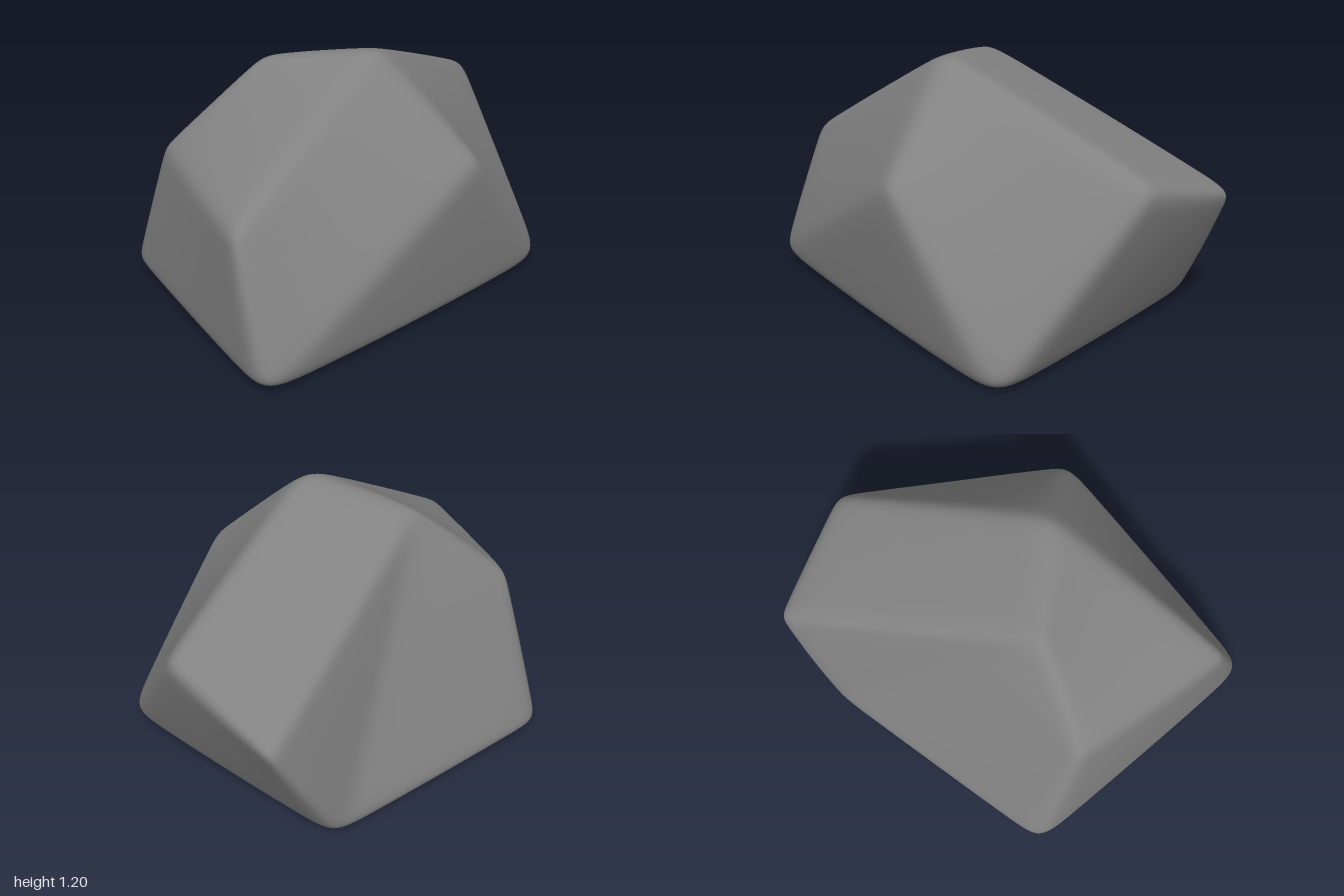
import * as THREE from 'three';

// Sharp corners of the boulder
const CORNERS = [
  [-0.82, 0.015, 0.515],  // 0 base, front left
  [0.48, 0.005, 1.06],    // 1 base, front right
  [0.79, -0.02, -0.755],  // 2 base, back right
  [-0.61, 0.00, -0.715],  // 3 base, back left
  [-0.51, 0.75, 0.56],    // 4 shoulder, front left
  [0.26, 0.68, 0.97],     // 5 shoulder, front right
  [0.785, 0.78, -0.11],   // 6 shoulder, right
  [0.125, 0.825, -1.03],  // 7 shoulder, back right
  [-0.505, 0.635, -1.035], // 8 shoulder, back left
  [-0.215, 1.16, 0.23],   // 9 crest, left
  [0.29, 1.245, 0.02],    // 10 crest, right
].map((c) => new THREE.Vector3(...c));

// Facets, anticlockwise from outside
const FACETS = [
  [0, 1, 5, 4],   // front
  [4, 5, 10, 9],  // upper front
  [5, 1, 6, 10],  // right front
  [1, 2, 6],      // lower right
  [10, 6, 2, 7],  // right back
  [9, 10, 7, 8],  // top
  [0, 4, 9, 3],   // left
  [9, 8, 3],      // left hollow
  [2, 3, 8, 7],   // back
  [0, 3, 2, 1],   // underside
];

const BEVEL = 0.026;
const mean = (points) => points
  .reduce((sum, p) => sum.add(p), new THREE.Vector3()).divideScalar(points.length);

// Calls visit(face index, corner, next corner, previous corner) all round each face
function eachCorner(faces, visit) {
  faces.forEach((face, f) => face.forEach((v, k) => {
    visit(f, v, face[(k + 1) % face.length], face[(k + face.length - 1) % face.length]);
  }));
}

// Insets every facet and fills the gaps along edges and at corners
function bevel({ points, faces }, width) {
  const out = { points: [], faces: faces.map(() => []) };
  const inset = {};
  const edgeFace = {};
  const before = {};
  eachCorner(faces, (f, v, next, prev) => {
    const d1 = points[next].clone().sub(points[v]).normalize();
    const d2 = points[prev].clone().sub(points[v]).normalize();
    const reach = width / Math.sin(d1.angleTo(d2));
    inset[`${v},${f}`] = out.points.length;
    out.faces[f].push(out.points.length);
    out.points.push(d1.add(d2).multiplyScalar(reach).add(points[v]));
    edgeFace[`${v},${next}`] = f;
    before[`${v},${f}`] = prev;
  });
  eachCorner(faces, (f, a, b) => {
    const g = edgeFace[`${b},${a}`];
    if (a < b) {
      out.faces.push([[b, f], [a, f], [a, g], [b, g]].map((key) => inset[key.join()]));
    }
  });
  points.forEach((_, v) => {
    const start = faces.findIndex((face) => face.includes(v));
    const cap = [];
    let f = start;
    do {
      cap.push(inset[`${v},${f}`]);
      f = edgeFace[`${v},${before[`${v},${f}`]}`];
    } while (f !== start);
    out.faces.push(cap);
  });
  return out;
}

// One step of Catmull-Clark smoothing
function smooth({ points, faces }) {
  const centres = faces.map((face) => mean(face.map((v) => points[v])));
  const edges = new Map();
  const around = points.map(() => ({ centres: [], middles: [] }));
  const edgeKey = (a, b) => (a < b ? `${a},${b}` : `${b},${a}`);
  eachCorner(faces, (f, a, b) => {
    const key = edgeKey(a, b);
    if (!edges.has(key)) edges.set(key, { ends: [points[a], points[b]], centres: [] });
    edges.get(key).centres.push(centres[f]);
    around[a].centres.push(centres[f]);
    around[a].middles.push(mean([points[a], points[b]]));
  });
  const moved = points.map((p, v) => {
    const n = around[v].centres.length;
    return mean(around[v].centres).addScaledVector(mean(around[v].middles), 2)
      .addScaledVector(p, n - 3).divideScalar(n);
  });
  const out = { points: [...moved, ...centres], faces: [] };
  const edgeIndex = {};
  edges.forEach((edge, key) => {
    edgeIndex[key] = out.points.length;
    out.points.push(mean([...edge.ends, ...edge.centres]));
  });
  eachCorner(faces, (f, v, next, prev) => {
    out.faces.push([v, edgeIndex[edgeKey(v, next)], points.length + f, edgeIndex[edgeKey(prev, v)]]);
  });
  return out;
}

function toGeometry({ points, faces }) {
  const geometry = new THREE.BufferGeometry().setFromPoints(points);
  geometry.setIndex(faces.flatMap(([a, b, c, d]) => [a, b, c, a, c, d]));
  geometry.computeVertexNormals();
  return geometry;
}

export function createModel() {
  const group = new THREE.Group();
  group.name = 'rock';

  // Faceted stone with softly worn edges
  let stone = bevel({ points: CORNERS, faces: FACETS }, BEVEL);
  for (let i = 0; i < 4; i++) stone = smooth(stone);
  const material = new THREE.MeshStandardMaterial({ color: 0x828282 });
  const boulder = new THREE.Mesh(toGeometry(stone), material);
  boulder.name = 'boulder';
  group.add(boulder);
  return group;
}
